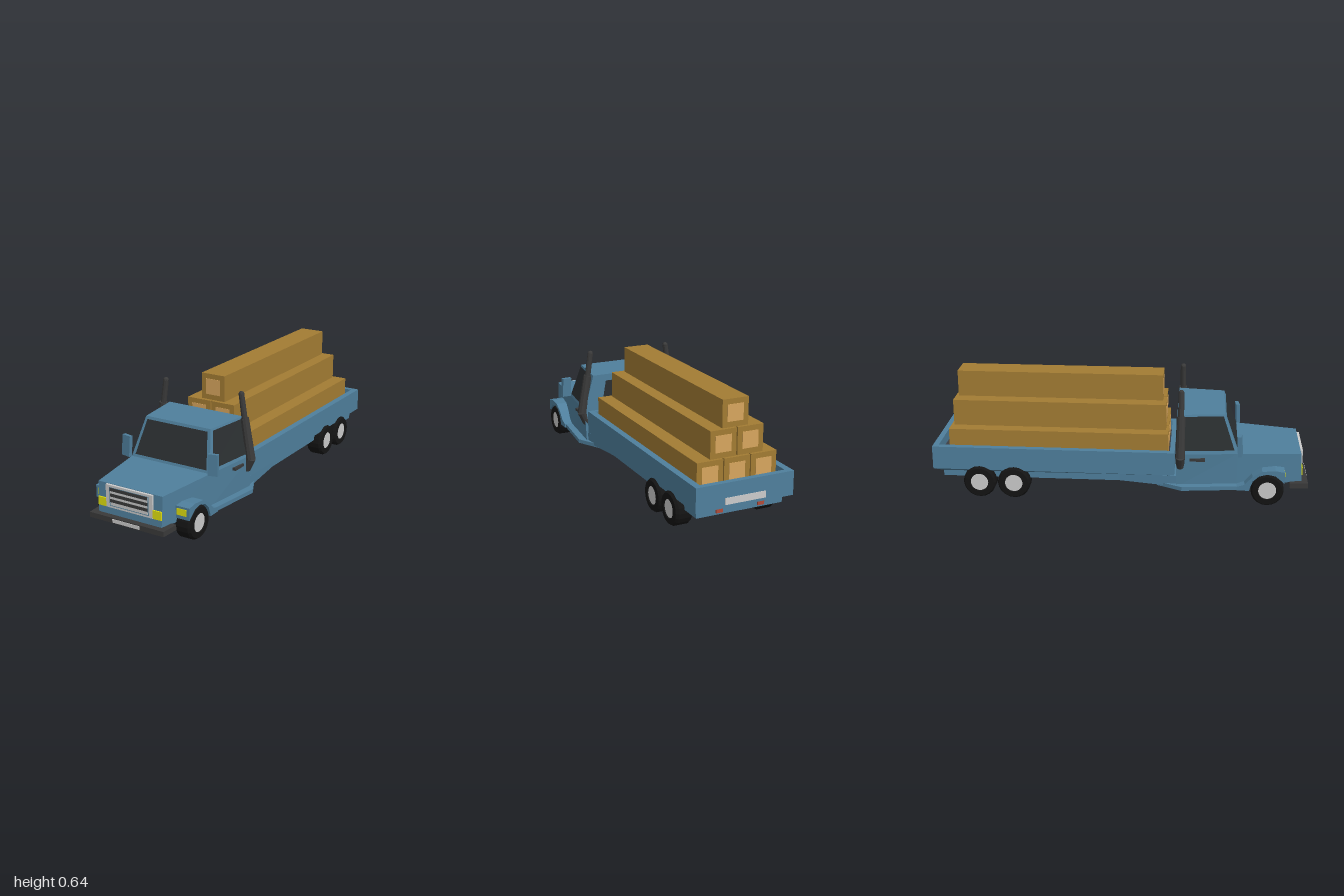
import * as THREE from 'three';

const mat = (color, side = THREE.FrontSide) => new THREE.MeshStandardMaterial({ color, flatShading: true, side });
const blue = mat(0x4f7f9c), dark = mat(0x3a3a3a), glass = mat(0x2a2e30, THREE.DoubleSide), tyre = mat(0x141414);
const grey = mat(0xcccccc), yellow = mat(0xe0e010), red = mat(0xb04a38);
const wood = mat(0xa37c33), endWood = mat(0xd8a65e), floorMat = mat(0x3c3e44);

export function createModel() {
  const root = new THREE.Group();

  const add = (name, geo, material, parent = root) => {
    const m = new THREE.Mesh(geo, material);
    m.name = name;
    parent.add(m);
    return m;
  };
  // Box given by its min and max corners
  const box = (name, material, x0, x1, y0, y1, z0, z1, parent = root) =>
    add(name, new THREE.BoxGeometry(x1 - x0, y1 - y0, z1 - z0)
      .translate((x0 + x1) / 2, (y0 + y1) / 2, (z0 + z1) / 2), material, parent);
  // Symmetric block between a front and a back section;
  // each section holds a bottom and a top edge as [halfWidth, y, z]
  const loft = (name, material, front, back) => {
    const g = new THREE.BoxGeometry(2, 2, 2).toNonIndexed();
    const p = g.attributes.position;
    for (let i = 0; i < p.count; i++) {
      const [hw, y, z] = (p.getZ(i) > 0 ? front : back)[p.getY(i) > 0 ? 1 : 0];
      p.setXYZ(i, p.getX(i) * hw, y, z);
    }
    g.computeVertexNormals();
    return add(name, g, material);
  };
  // Thin pane on a four-cornered face, inset by fractions and lifted off it.
  // Corners: bottom left, bottom right, top right, top left, seen from outside
  const pane = (name, material, corners, u0, u1, v0, v1, lift = 0.003) => {
    const [a, b, c, d] = corners.map(k => new THREE.Vector3(...k));
    const n = b.clone().sub(a).cross(d.clone().sub(a)).normalize().multiplyScalar(lift);
    const at = (u, v) => a.clone().lerp(b, u).lerp(d.clone().lerp(c, u), v).add(n);
    const q = [at(u0, v0), at(u1, v0), at(u1, v1), at(u0, v1)];
    const g = new THREE.BufferGeometry().setFromPoints([q[0], q[1], q[2], q[0], q[2], q[3]]);
    g.computeVertexNormals();
    return add(name, g, material);
  };

  // Load bed: rim walls, floor, skirt and chassis
  const rect = (T, hw, z0, z1) => new T([[-hw, z0], [hw, z0], [hw, z1], [-hw, z1]].map(k => new THREE.Vector2(...k)));
  const rim = rect(THREE.Shape, 0.265, -0.29, 1);
  rim.holes.push(rect(THREE.Path, 0.23, -0.265, 0.97));
  add('bedWalls', new THREE.ExtrudeGeometry(rim, { depth: 0.125, bevelEnabled: false })
    .rotateX(-Math.PI / 2).translate(0, 0.155, 0), blue);
  box('bedFloor', floorMat, -0.235, 0.235, 0.156, 0.225, -0.975, 0.27);
  loft('bedSkirt', blue, [[0.25, 0.15, 0.29], [0.265, 0.155, 0.29]], [[0.235, 0.135, -0.95], [0.265, 0.155, -1]]);
  box('chassis', blue, -0.235, 0.235, 0.105, 0.15, -0.95, 0);
  loft('chassisFront', blue, [[0.265, 0.09, 0.33], [0.265, 0.15, 0.33]], [[0.235, 0.105, 0], [0.235, 0.15, 0]]);
  box('rearPlate', grey, -0.11, 0.11, 0.17, 0.205, -1, -0.99).position.z = -0.002;
  for (const s of [-1, 1])
    box('tailLight', red, s * 0.113 - 0.018, s * 0.113 + 0.018, 0.115, 0.137, -0.957, -0.94);

  // Stacked timber beams with pale end grain
  const beam = (x, y, z0, z1) => {
    const g = new THREE.Group();
    g.name = 'timberBeam';
    root.add(g);
    box('beam', wood, x - 0.07, x + 0.07, y, y + 0.14, z0, z1, g);
    box('endGrain', endWood, x - 0.043, x + 0.043, y + 0.028, y + 0.113, z0 - 0.002, z1 + 0.002, g);
  };
  for (const x of [-0.146, 0, 0.146]) beam(x, 0.225, -0.915, 0.255);
  for (const x of [-0.078, 0.068]) beam(x, 0.365, -0.9, 0.24);
  beam(-0.002, 0.505, -0.885, 0.22);

  // Bonnet, doors and greenhouse
  loft('bonnet', blue, [[0.187, 0.11, 0.965], [0.19, 0.267, 0.955]], [[0.235, 0.092, 0.62], [0.238, 0.277, 0.62]]);
  loft('cabLower', blue, [[0.235, 0.092, 0.62], [0.238, 0.277, 0.62]], [[0.27, 0.09, 0.3], [0.28, 0.28, 0.3]]);
  loft('cabUpper', blue, [[0.238, 0.276, 0.625], [0.195, 0.48, 0.55]], [[0.28, 0.279, 0.3], [0.225, 0.48, 0.3]]);
  pane('windscreen', glass,
    [[-0.238, 0.276, 0.625], [0.238, 0.276, 0.625], [0.195, 0.48, 0.55], [-0.195, 0.48, 0.55]], 0.04, 0.96, 0.07, 0.93);
  pane('rearWindow', glass,
    [[0.28, 0.279, 0.3], [-0.28, 0.279, 0.3], [-0.225, 0.48, 0.3], [0.225, 0.48, 0.3]], 0.18, 0.82, 0.15, 0.82);

  // Grille and front lights
  box('grilleFrame', grey, -0.138, 0.138, 0.147, 0.265, 0.94, 0.968);
  box('grilleSurround', blue, -0.116, 0.116, 0.157, 0.254, 0.95, 0.969);
  box('grilleBack', grey, -0.111, 0.111, 0.161, 0.25, 0.95, 0.97);
  for (let i = 0; i < 3; i++) {
    const y = 0.178 + i * 0.029;
    box('grilleSlat', dark, -0.111, 0.111, y, y + 0.016, 0.95, 0.972);
  }

  // Bumper wrapping round the nose
  const bumper = new THREE.Shape([[-0.225, -0.9], [-0.19, -0.9], [-0.185, -0.955], [0.185, -0.955],
    [0.19, -0.9], [0.225, -0.9], [0.22, -0.997], [-0.22, -0.997]].map(k => new THREE.Vector2(...k)));
  add('bumper', new THREE.ExtrudeGeometry(bumper, { depth: 0.027, bevelEnabled: false })
    .rotateX(-Math.PI / 2).translate(0, 0.084, 0), dark);
  box('frontPlate', grey, -0.08, 0.08, 0.088, 0.106, 0.98, 1);

  // Wheel arch outline, drawn as (-z, y)
  const arch = new THREE.Shape();
  arch.moveTo(-0.868, 0.13);
  arch.lineTo(-0.868, 0.194);
  arch.lineTo(-0.82, 0.202);
  arch.lineTo(-0.75, 0.196);
  arch.lineTo(-0.7, 0.165);
  arch.lineTo(-0.66, 0.12);
  arch.lineTo(-0.62, 0.107);
  arch.lineTo(-0.62, 0.086);
  arch.lineTo(-0.685, 0.086);
  for (let i = 0; i <= 5; i++) {
    const a = 0.1 + i * 0.48;
    arch.lineTo(-0.78 + Math.cos(a) * 0.093, 0.088 + Math.sin(a) * 0.093);
  }

  // Tyre cross-section as (radius, width)
  const tyreProfile = [[0.045, -0.045], [0.08, -0.045], [0.087, -0.035], [0.087, 0.03], [0.078, 0.043], [0.05, 0.045], [0.045, 0.036]]
    .map(k => new THREE.Vector2(...k));
  const wheel = (s, z) => {
    const g = new THREE.Group();
    g.name = 'wheel';
    g.position.set(s * 0.236, 0.088, z);
    g.rotation.z = -s * Math.PI / 2;
    root.add(g);
    add('tyre', new THREE.LatheGeometry(tyreProfile, 20), tyre, g);
    add('hub', new THREE.CylinderGeometry(0.05, 0.05, 0.08, 20), grey, g);
    add('innerDisc', new THREE.CylinderGeometry(0.05, 0.05, 0.02, 20).translate(0, -0.034, 0), tyre, g);
  };
  // Straight tapered pipe between two points
  const pipe = (name, a, b, r0, r1) => {
    const p = new THREE.Vector3(...a), q = new THREE.Vector3(...b), d = q.clone().sub(p);
    const m = add(name, new THREE.CylinderGeometry(r1, r0, d.length(), 10), dark);
    m.position.copy(p).lerp(q, 0.5);
    m.quaternion.setFromUnitVectors(new THREE.Vector3(0, 1, 0), d.normalize());
  };

  // Everything that comes in left and right pairs
  for (const s of [-1, 1]) {
    for (const z of [0.78, -0.565, -0.75]) wheel(s, z);

    add('fender', new THREE.ExtrudeGeometry(arch, { depth: 0.09, bevelEnabled: false })
      .rotateY(Math.PI / 2).translate(s > 0 ? 0.19 : -0.28, 0, 0), blue);
    const span = (a, b) => (s > 0 ? [a, b] : [-b, -a]);
    box('headlight', yellow, ...span(0.208, 0.264), 0.149, 0.183, 0.86, 0.871);
    box('cornerLight', yellow, ...span(0.138, 0.187), 0.147, 0.191, 0.94, 0.967);

    // Running board, flaring towards the back
    const board = new THREE.Shape([[0.2, -0.63], [0.272, -0.63], [0.307, -0.33], [0.24, -0.2], [0.2, -0.2]]
      .map(([x, y]) => new THREE.Vector2(s * x, y)));
    add('runningBoard', new THREE.ExtrudeGeometry(board, { depth: 0.021, bevelEnabled: false })
      .rotateX(-Math.PI / 2).translate(0, 0.086, 0), blue);

    // Side window, following the slope of the cab side
    const f = [s * 0.238, 0.276, 0.625], b = [s * 0.28, 0.279, 0.3];
    const bt = [s * 0.225, 0.48, 0.3], ft = [s * 0.195, 0.48, 0.55];
    pane('sideWindow', glass, s > 0 ? [f, b, bt, ft] : [b, f, ft, bt],
      s > 0 ? 0.05 : 0.08, s > 0 ? 0.92 : 0.95, 0.09, 0.95, 0.005);
    box('doorHandle', dark, ...span(0.255, 0.278), 0.242, 0.256, 0.37, 0.45);

    // Mirror
    const mirror = box('mirror', blue, -0.0265, 0.0265, -0.055, 0.055, -0.01, 0.01);
    mirror.position.set(s * 0.262, 0.332, 0.63);
    mirror.rotation.set(-0.06, s * 0.15, s * 0.04);

    // Exhaust stack
    pipe('exhaustElbow', [s * 0.262, 0.205, 0.32], [s * 0.288, 0.27, 0.32], 0.021, 0.026);
    pipe('exhaustStack', [s * 0.288, 0.265, 0.32], [s * 0.252, 0.48, 0.32], 0.026, 0.022);
    pipe('exhaustTip', [s * 0.252, 0.47, 0.32], [s * 0.232, 0.605, 0.32], 0.016, 0.015);
    add('exhaustCap', new THREE.SphereGeometry(0.015, 10, 6), dark).position.set(s * 0.232, 0.605, 0.32);
  }
  return root;
}
